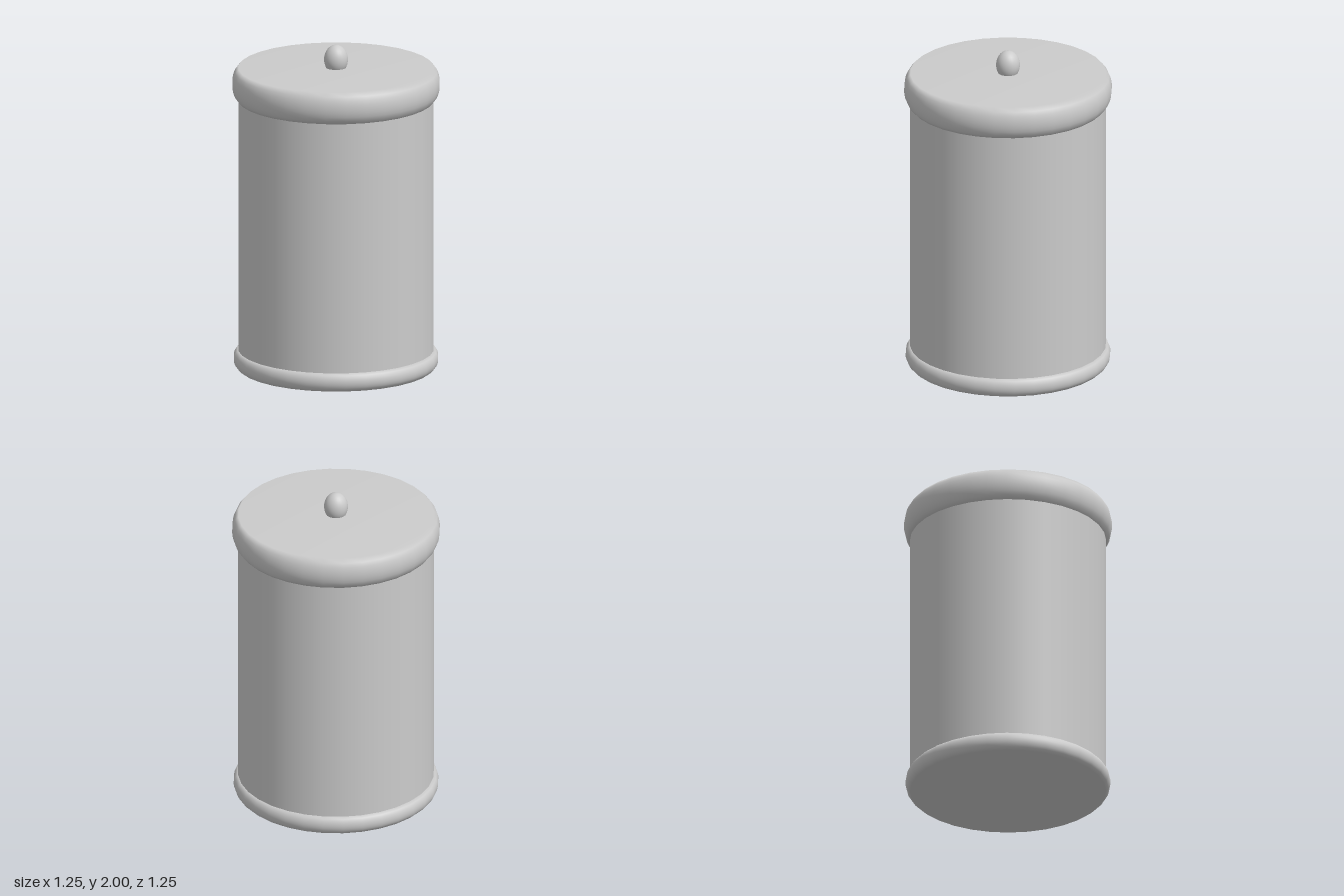
import * as THREE from 'three';

const SIDES = 32;
const material = new THREE.MeshStandardMaterial({ color: 0xcccccc });

function addPart(group, name, geometry) {
  const mesh = new THREE.Mesh(geometry, material);
  mesh.name = name;
  group.add(mesh);
  return mesh;
}

// Rounded disc: flat top and bottom faces with a bulging rim between them
function bulgedDisc(bottom, top, edgeRadius, maxRadius, steps = 8) {
  const points = [new THREE.Vector2(0, bottom)];
  for (let i = 0; i <= steps; i++) {
    const t = i / steps;
    const bulge = Math.sqrt(Math.max(0, 1 - (2 * t - 1) ** 2 * 0.85));
    const low = Math.sqrt(0.15);
    const r = edgeRadius + (maxRadius - edgeRadius) * (bulge - low) / (1 - low);
    points.push(new THREE.Vector2(r, bottom + (top - bottom) * t));
  }
  points.push(new THREE.Vector2(0, top));
  return new THREE.LatheGeometry(points, SIDES);
}

export function createModel() {
  const group = new THREE.Group();
  group.name = 'canister';

  // Base ring and straight body
  addPart(group, 'base', bulgedDisc(0, 0.115, 0.588, 0.617));
  const body = addPart(group, 'body', new THREE.CylinderGeometry(0.59, 0.59, 1.6, SIDES, 1, true));
  body.position.y = 0.9;

  // Lid with rounded rim
  addPart(group, 'lid', bulgedDisc(1.66, 1.86, 0.588, 0.626));

  // Egg-shaped knob sunk slightly into the lid
  const knob = addPart(group, 'knob', new THREE.SphereGeometry(1, 24, 16));
  knob.scale.set(0.072, 0.09, 0.072);
  knob.position.y = 1.91;

  return group;
}
